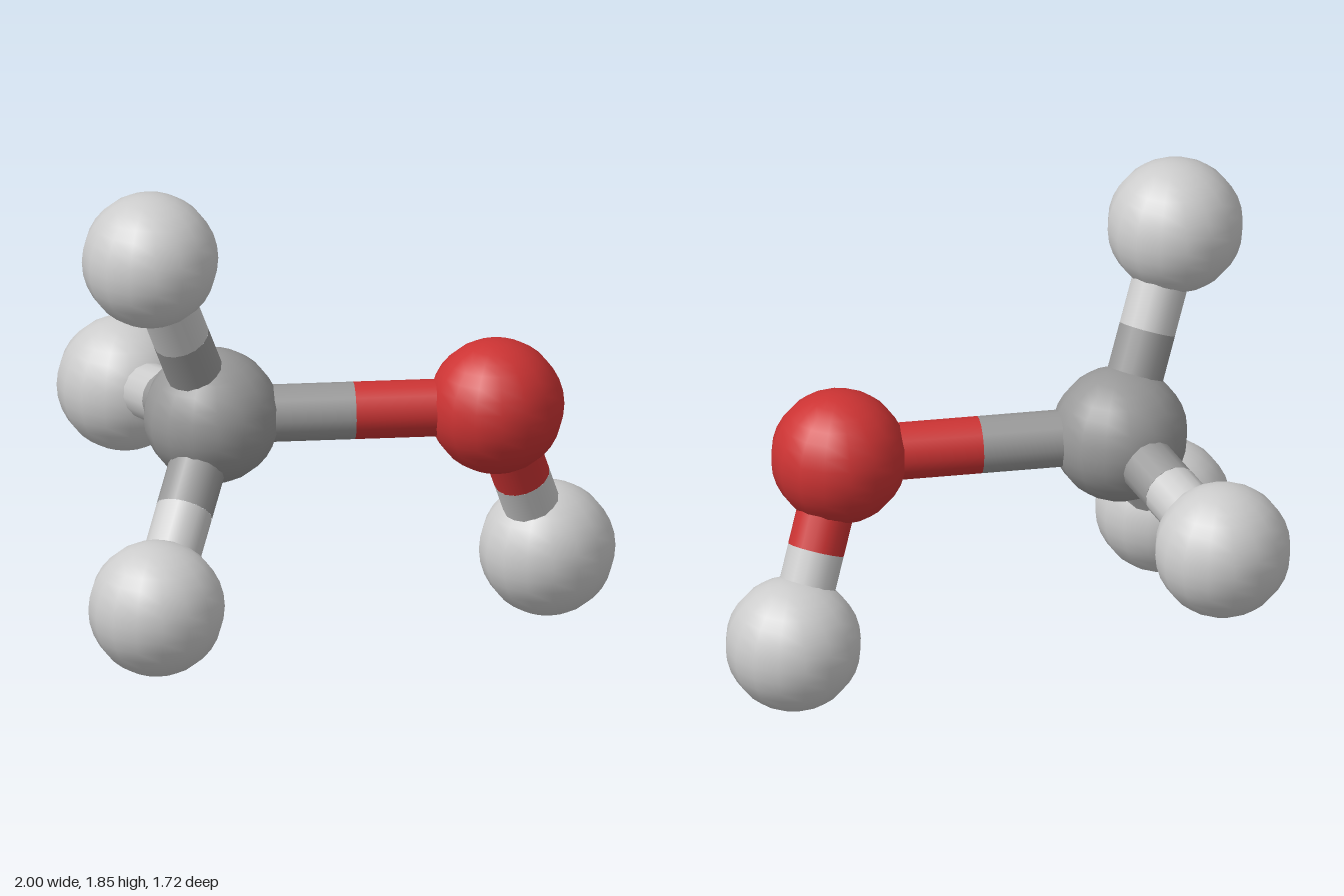
import * as THREE from 'three';

const ATOM_RADIUS = 0.25;
const BOND_RADIUS = 0.105;

export function createModel() {
  const model = new THREE.Group();
  model.name = 'ballAndStickMolecule';

  const material = (name, color) => {
    const m = new THREE.MeshStandardMaterial({ color });
    m.name = name;
    return m;
  };
  const lightGrey = material('lightGrey', 0xcccccc);
  const midGrey = material('midGrey', 0x999999);
  const red = material('red', 0xcc3333);

  // Atoms: name, centre, colour
  const atom = (name, x, y, z, mat) => ({ name, p: new THREE.Vector3(x, y, z), mat });
  const carbon = atom('carbon', -0.5, 0.893, 0.115, midGrey);
  const oxygen = atom('oxygen', 0.54, 0.893, 0.115, red);
  const top = atom('topHydrogen', -0.75, 1.6, 0.36, lightGrey);
  const front = atom('frontHydrogen', -0.75, 0.338, 0.612, lightGrey);
  const back = atom('backHydrogen', -0.75, 0.755, -0.613, lightGrey);
  const hydroxyl = atom('hydroxylHydrogen', 0.747, 0.253, -0.098, lightGrey);

  const ball = new THREE.SphereGeometry(ATOM_RADIUS, 16, 16);
  for (const a of [carbon, oxygen, top, front, back, hydroxyl]) {
    const mesh = new THREE.Mesh(ball, a.mat);
    mesh.name = a.name + 'Atom';
    mesh.position.copy(a.p);
    model.add(mesh);
  }

  // Half a bond, from an atom's centre to the bond's midpoint
  const up = new THREE.Vector3(0, 1, 0);
  const halfBond = (from, to) => {
    const mid = from.p.clone().lerp(to.p, 0.5);
    const dir = mid.clone().sub(from.p);
    const geo = new THREE.CylinderGeometry(BOND_RADIUS, BOND_RADIUS, dir.length(), 16, 1, true);
    const mesh = new THREE.Mesh(geo, from.mat);
    mesh.name = `${from.name}HalfBond`;
    mesh.position.copy(from.p).lerp(mid, 0.5);
    mesh.quaternion.setFromUnitVectors(up, dir.normalize());
    return mesh;
  };

  // Bonds: two halves, each in the colour of its atom
  const bonds = [[carbon, oxygen], [carbon, top], [carbon, front], [carbon, back], [oxygen, hydroxyl]];
  for (const [a, b] of bonds) {
    const bond = new THREE.Group();
    bond.name = `${a.name}To${b.name[0].toUpperCase()}${b.name.slice(1)}Bond`;
    bond.add(halfBond(a, b), halfBond(b, a));
    model.add(bond);
  }
  return model;
}
